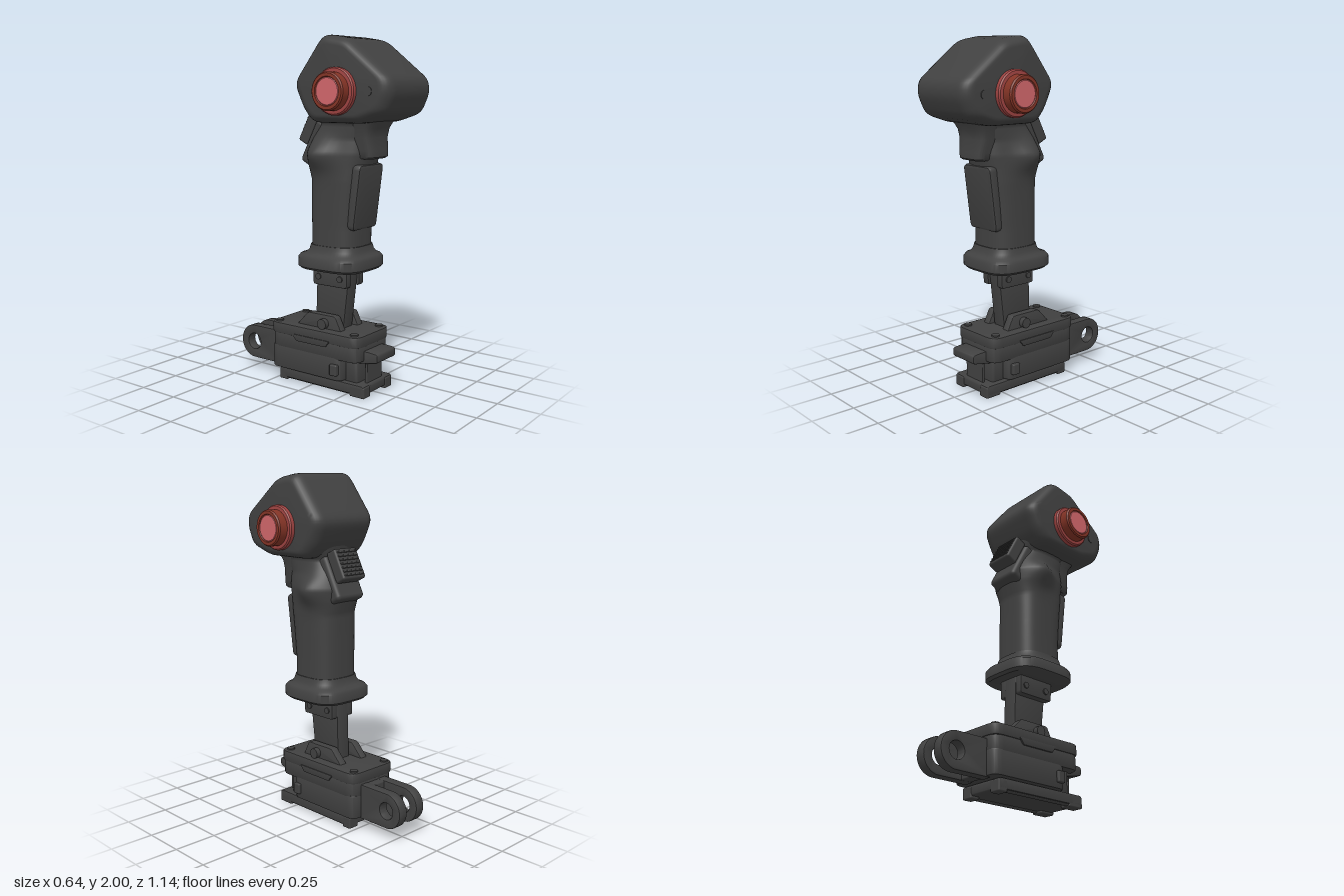
import * as THREE from 'three';
import { toCreasedNormals } from 'three/addons/utils/BufferGeometryUtils.js';
import { RoundedBoxGeometry } from 'three/addons/geometries/RoundedBoxGeometry.js';

const mat = (name, color) => new THREE.MeshStandardMaterial({ name, color });

// Polygon with its corners rounded by radius r
function rounded(points, r, steps = 4) {
  const out = [], P = points.map(p => new THREE.Vector2(...p)), n = P.length;
  P.forEach((p, i) => {
    const toward = q => p.clone().add(q.clone().sub(p).setLength(Math.min(r, q.distanceTo(p) * 0.45)));
    const curve = new THREE.QuadraticBezierCurve(toward(P[(i + n - 1) % n]), p, toward(P[(i + 1) % n]));
    out.push(...curve.getPoints(steps));
  });
  return out;
}

// Closed skin over equal-length rings of Vector3, capped at both ends
function loft(rings, crease = 0.6) {
  const n = rings[0].length, pts = rings.flat(), idx = [];
  for (let r = 0; r < rings.length - 1; r++) for (let i = 0; i < n; i++) {
    const a = r * n + i, b = r * n + (i + 1) % n;
    idx.push(a, b, a + n, b, b + n, a + n);
  }
  const cap = (start, ring, flip) => {
    const c = pts.length;
    pts.push(ring.reduce((s, p) => s.add(p), new THREE.Vector3()).divideScalar(n));
    for (let i = 0; i < n; i++) {
      const a = start + i, b = start + (i + 1) % n;
      idx.push(c, ...(flip ? [b, a] : [a, b]));
    }
  };
  cap(0, rings[0], true);
  cap((rings.length - 1) * n, rings[rings.length - 1], false);
  // Turn the faces outward when the enclosed volume comes out negative
  let vol = 0;
  for (let i = 0; i < idx.length; i += 3)
    vol += pts[idx[i]].dot(pts[idx[i + 1]].clone().cross(pts[idx[i + 2]]));
  if (vol < 0) idx.reverse();
  const g = new THREE.BufferGeometry().setFromPoints(pts);
  g.setIndex(idx);
  return toCreasedNormals(g, crease);
}

// Horizontal superellipse ring
function ringY([y, zf, zb, hw, n], count = 56) {
  const pw = v => Math.sign(v) * Math.abs(v) ** (2 / n);
  return Array.from({ length: count }, (_, i) => {
    const a = i / count * Math.PI * 2;
    return new THREE.Vector3(hw * pw(Math.cos(a)), y, (zf + zb) / 2 + (zf - zb) / 2 * pw(Math.sin(a)));
  });
}

function extrude(shape, depth, bevel) {
  return new THREE.ExtrudeGeometry(shape, {
    depth: depth - 2 * bevel, bevelEnabled: bevel > 0, bevelSize: bevel, bevelThickness: bevel,
    bevelOffset: -bevel, bevelSegments: 2, curveSegments: 20,
  }).translate(0, 0, bevel);
}
// Side outline in (z, y), width along x, centred on x
const extrudeX = (pts, width, r = 0.015, bevel = 0.006) =>
  toCreasedNormals(extrude(new THREE.Shape(rounded(pts.map(([z, y]) => [-z, y]), r)), width, bevel)
    .translate(0, 0, -width / 2).rotateY(Math.PI / 2), 0.6);
// Plan outline in (x, z), raised from y0
const extrudeY = (pts, y0, height, r = 0.03, bevel = 0.008) =>
  toCreasedNormals(extrude(new THREE.Shape(rounded(pts.map(([x, z]) => [x, -z]), r)), height, bevel)
    .rotateX(-Math.PI / 2).translate(0, y0, 0), 0.6);
const rect = (a0, a1, b0, b1) => [[a0, b0], [a1, b0], [a1, b1], [a0, b1]];

export function createModel() {
  const model = new THREE.Group();
  const body = mat('charcoal', 0x414141);
  const ringRed = mat('dusty red', 0x9e4341);
  const stemRed = mat('rust red', 0x843426);
  const faceRed = mat('light red', 0xd0666a);
  const add = (name, geo, material = body, x = 0, y = 0, z = 0) => {
    const m = new THREE.Mesh(geo, material);
    m.name = name;
    m.position.set(x, y, z);
    model.add(m);
    return m;
  };
  const box = (name, w, h, d, x, y, z, r = 0.008) =>
    add(name, new RoundedBoxGeometry(w, h, d, 3, r), body, x, y, z);

  // Head: side outline swept across x, shrinking toward both cheeks
  const outline = rounded([[0.156, 2.003], [0.3, 1.978], [0.57, 1.765], [0.58, 1.69], [0.53, 1.58],
    [0.38, 1.53], [0.06, 1.53], [0, 1.6], [-0.057, 1.72], [-0.052, 1.765], [0.12, 1.988]], 0.04);
  const headRings = [];
  for (let k = -8; k <= 8; k++) {
    if (k === 0) continue;
    const a = (Math.abs(k) - 1) / 7 * Math.PI / 2, s = 0.79 + 0.21 * Math.cos(a);
    const x = Math.sign(k) * (0.155 + 0.075 * Math.sin(a));
    headRings.push(outline.map(p => new THREE.Vector3(x, 1.75 + (p.y - 1.75) * s, 0.25 + (p.x - 0.25) * s)));
  }
  add('head', loft(headRings));

  // Grip: smooth column with a thumb swell on each side
  const keys = [[0.81, 0.275, -0.03, 0.15, 3], [0.95, 0.275, -0.03, 0.15, 3], [1.1, 0.288, -0.03, 0.152, 3],
    [1.21, 0.303, -0.032, 0.154, 2.9], [1.29, 0.318, -0.055, 0.152, 2.8], [1.36, 0.335, -0.065, 0.148, 2.8],
    [1.44, 0.335, -0.03, 0.132, 2.8], [1.52, 0.36, 0.02, 0.13, 2.8], [1.57, 0.4, 0.01, 0.165, 3],
    [1.62, 0.43, 0, 0.19, 3]];
  const rows = [];
  for (let i = 0; i < keys.length - 1; i++) for (let j = 0; j < 6; j++)
    rows.push(keys[i].map((v, c) => THREE.MathUtils.lerp(v, keys[i + 1][c], j / 6)));
  rows.push(keys[keys.length - 1]);
  const gripRings = rows.map(r => ringY(r));
  gripRings.flat().forEach(p => {
    const swell = Math.exp(-(((p.y - 1.36) / 0.085) ** 2) - ((p.z - 0.07) / 0.1) ** 2);
    p.x *= 1 + 0.45 * swell;
  });
  add('grip', loft(gripRings, 0.9));

  // Flange under the grip
  add('gripFlange', loft([[0.7, 0.315, -0.085, 0.185, 3.6], [0.715, 0.33, -0.1, 0.203, 3.6],
    [0.765, 0.33, -0.1, 0.203, 3.6], [0.782, 0.318, -0.088, 0.19, 3.6], [0.79, 0.3, -0.06, 0.172, 3.4],
    [0.81, 0.287, -0.042, 0.16, 3.2], [0.84, 0.281, -0.036, 0.155, 3]].map(r => ringY(r)), 0.7));

  // Raised panel and trigger on the front of the grip
  const panel = add('frontPanel', toCreasedNormals(
    extrude(new THREE.Shape(rounded(rect(-0.118, 0.118, -0.185, 0.185), 0.03)), 0.06, 0.014), 0.6),
    body, 0, 1.125, 0.247);
  panel.rotation.x = 0.128;
  add('trigger', loft([[1.335, 0.375, 0.25, 0.085, 4], [1.345, 0.388, 0.25, 0.095, 4], [1.38, 0.388, 0.25, 0.1, 4],
    [1.45, 0.375, 0.25, 0.112, 4], [1.5, 0.385, 0.25, 0.118, 4], [1.56, 0.42, 0.25, 0.14, 4]].map(r => ringY(r)), 0.7));

  // Thumb switch on the back, tilted
  const tilt = 0.475;
  box('switchHousing', 0.21, 0.27, 0.12, 0, 1.405, 0.012, 0.025).rotation.x = tilt;
  box('thumbSwitch', 0.175, 0.185, 0.075, 0, 1.492, -0.05, 0.014).rotation.x = tilt;
  for (let i = -3; i <= 3; i++) {
    const t = i * 0.023;
    box('switchRidge', 0.15, 0.01, 0.012, 0, 1.492 + t * Math.cos(tilt) + 0.037 * Math.sin(tilt),
      -0.05 + t * Math.sin(tilt) - 0.037 * Math.cos(tilt), 0.004).rotation.x = tilt;
  }

  // Side buttons and cheek screws
  const lathe = pts => toCreasedNormals(
    new THREE.LatheGeometry(pts.map(p => new THREE.Vector2(...p)), 48), 0.5);
  for (const side of [-1, 1]) {
    const parts = [
      ['buttonRing', [[0.127, 0.2], [0.127, 0.252], [0.12, 0.26], [0.098, 0.262]], ringRed],
      ['buttonStem', [[0.102, 0.22], [0.102, 0.312], [0.095, 0.32], [0.078, 0.32], [0.074, 0.314]], stemRed],
      ['buttonFace', [[0.076, 0.312], [0.07, 0.317], [0, 0.317]], faceRed],
    ];
    for (const [name, pts, m] of parts)
      add(name, lathe(pts), m, 0, 1.7, 0.25).rotation.z = -side * Math.PI / 2;
    add('cheekScrew', new THREE.CylinderGeometry(0.024, 0.024, 0.02, 20), body, side * 0.224, 1.7, 0.45)
      .rotation.z = Math.PI / 2;

    // Clamp on the stem, hinge lugs and their pins
    add('stemClamp', extrudeX([[0.22, 0.705], [-0.02, 0.705], [-0.02, 0.595], [0.215, 0.595]], 0.045),
      body, side * 0.062);
    add('hingeLug', extrudeX([[0.2, 0.34], [0.155, 0.43], [-0.04, 0.43], [-0.125, 0.34]], 0.05),
      body, side * 0.085);
    add('hingePin', new THREE.CylinderGeometry(0.03, 0.03, 0.035, 20), body, side * 0.122, 0.38, 0.08)
      .rotation.z = Math.PI / 2;
    for (const z of [0.17, 0.02])
      add('clampBolt', new THREE.CylinderGeometry(0.018, 0.018, 0.014, 16), body, side * 0.085, 0.645, z)
        .rotation.z = Math.PI / 2;

    // Cover bolts, side trim and clips
    for (const z of [-0.24, 0.3])
      add('coverBolt', new THREE.CylinderGeometry(0.023, 0.023, 0.02, 20), body, side * 0.125, 0.348, z);
    add('sideTrim', extrudeX([[0.16, 0.3], [0.13, 0.262], [-0.08, 0.262], [-0.11, 0.3]], 0.012, 0.008, 0.003),
      body, side * 0.168);
    box('sideClip', 0.03, 0.065, 0.05, side * 0.168, 0.14, 0.19);

    // Rear fork arm with a pin hole
    const arm = new THREE.Shape();
    arm.moveTo(0.25, 0.07).lineTo(0.466, 0.07).absarc(0.466, 0.172, 0.102, -Math.PI / 2, Math.PI / 2, false)
      .lineTo(0.25, 0.274).closePath();
    arm.holes.push(new THREE.Path().absarc(0.466, 0.172, 0.048, 0, Math.PI * 2, true));
    add('forkArm', toCreasedNormals(extrude(arm, 0.062, 0.006).translate(0, 0, -0.031)
      .rotateY(Math.PI / 2), 0.6), body, side * 0.07);
  }
  box('forkBridge', 0.1, 0.2, 0.07, 0, 0.172, -0.288);

  // Stem between the grip and the base
  add('stem', extrudeX([[0.21, 0.71], [-0.02, 0.71], [-0.032, 0.33], [0.165, 0.33]], 0.09), body);

  // Base housing, from cover down to foot plate
  add('baseCover', extrudeY(rect(-0.17, 0.17, -0.28, 0.35), 0.285, 0.065, 0.06));
  add('baseBody', extrudeY(rect(-0.165, 0.165, -0.275, 0.345), 0.2, 0.1, 0.06));
  add('baseLower', extrudeY(rect(-0.165, 0.165, -0.275, 0.235), 0.075, 0.14, 0.05));
  add('baseNose', extrudeY(rect(-0.11, 0.11, 0.2, 0.312), 0.06, 0.16, 0.02));
  add('latchLever', extrudeX([[0.435, 0.205], [0.435, 0.255], [0.38, 0.26], [0.3, 0.26], [0.23, 0.165]], 0.19, 0.015));
  box('latchPost', 0.15, 0.16, 0.016, 0, 0.14, 0.347, 0.005);
  add('footPlate', extrudeX(rect(-0.225, 0.375, 0.015, 0.072), 0.29));
  for (const x of [-0.11, 0.11]) {
    box('frontFoot', 0.07, 0.065, 0.1, x, 0.033, 0.33);
    box('rearFoot', 0.07, 0.065, 0.06, x, 0.033, -0.198);
    box('footRail', 0.03, 0.03, 0.52, x * 1.1, 0.022, 0.07);
  }
  return model;
}
